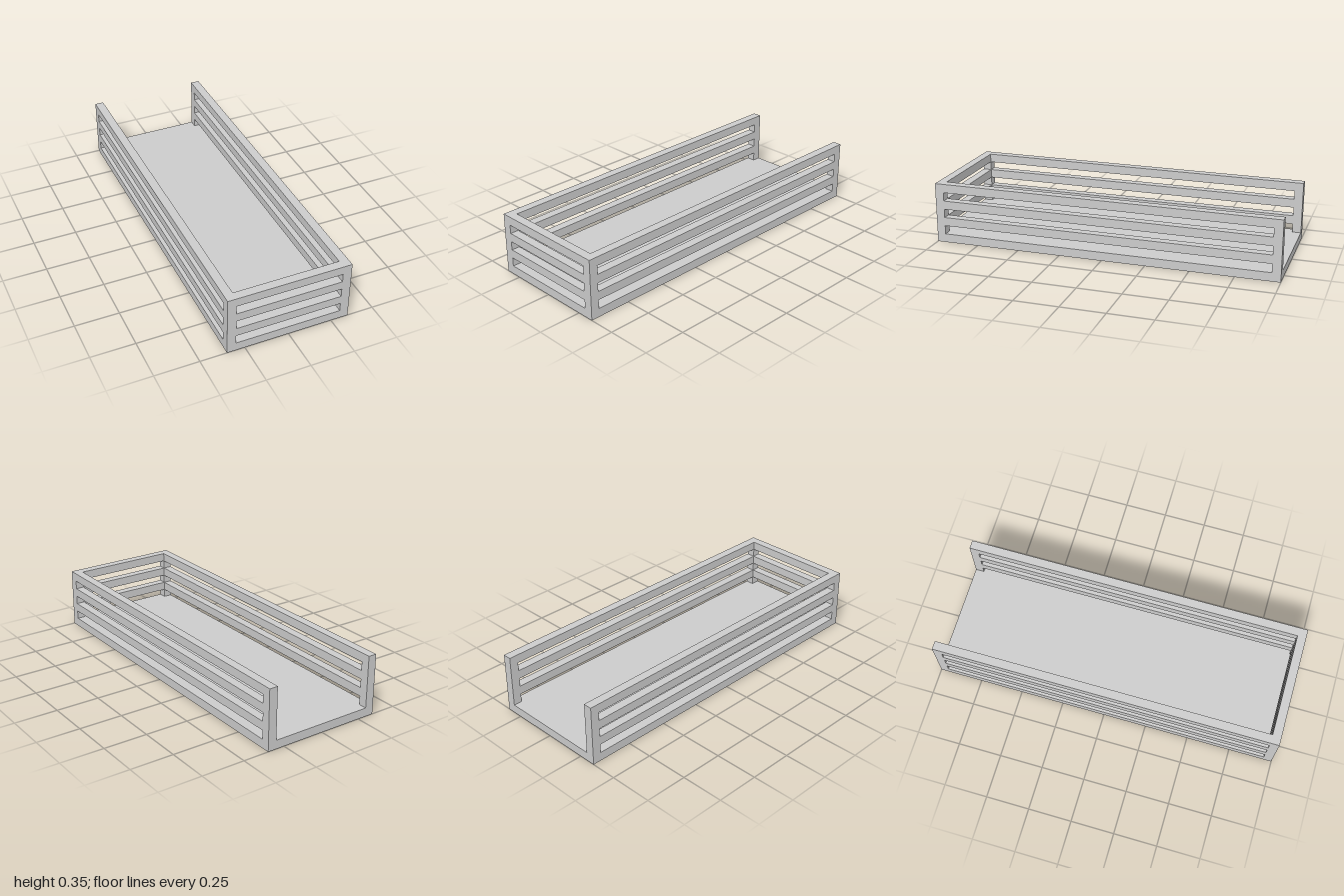
import * as THREE from 'three';

const WIDTH = 0.7, HEIGHT = 0.35, LENGTH = 2, T = 0.05;
const SLOTS = [0.05, 0.15, 0.25]; // bottom height of each slot

function rectangle(path, x0, y0, x1, y1) {
  path.moveTo(x0, y0);
  path.lineTo(x1, y0);
  path.lineTo(x1, y1);
  path.lineTo(x0, y1);
  path.closePath();
  return path;
}

export function createModel() {
  const group = new THREE.Group();
  const material = new THREE.MeshStandardMaterial({ color: 0xcccccc, flatShading: true });

  const add = (name, geometry, x, y, z) => {
    const mesh = new THREE.Mesh(geometry, material);
    mesh.name = name;
    mesh.position.set(x, y, z);
    group.add(mesh);
    return mesh;
  };

  // Floor between the side walls
  const inner = WIDTH - 2 * T;
  add('floor', new THREE.BoxGeometry(inner, T, LENGTH), 0, T / 2, 0);

  // Slotted side walls, drawn lengthwise and turned to run along z
  const half = LENGTH / 2;
  const wall = rectangle(new THREE.Shape(), -half, 0, half, HEIGHT);
  for (const y of SLOTS) wall.holes.push(rectangle(new THREE.Path(), -half + T, y, half - T, y + T));
  const wallGeometry = new THREE.ExtrudeGeometry(wall, { depth: T, bevelEnabled: false });
  wallGeometry.translate(0, 0, -T / 2).rotateY(Math.PI / 2);
  const wallX = (WIDTH - T) / 2;
  add('leftWall', wallGeometry, wallX, 0, 0);
  add('rightWall', wallGeometry, -wallX, 0, 0);

  // Front rails above each slot; the back stays open
  const railGeometry = new THREE.BoxGeometry(inner, T, T);
  SLOTS.forEach((y, i) => add(`frontRail${i + 1}`, railGeometry, 0, y + 1.5 * T, half - T / 2));

  return group;
}
